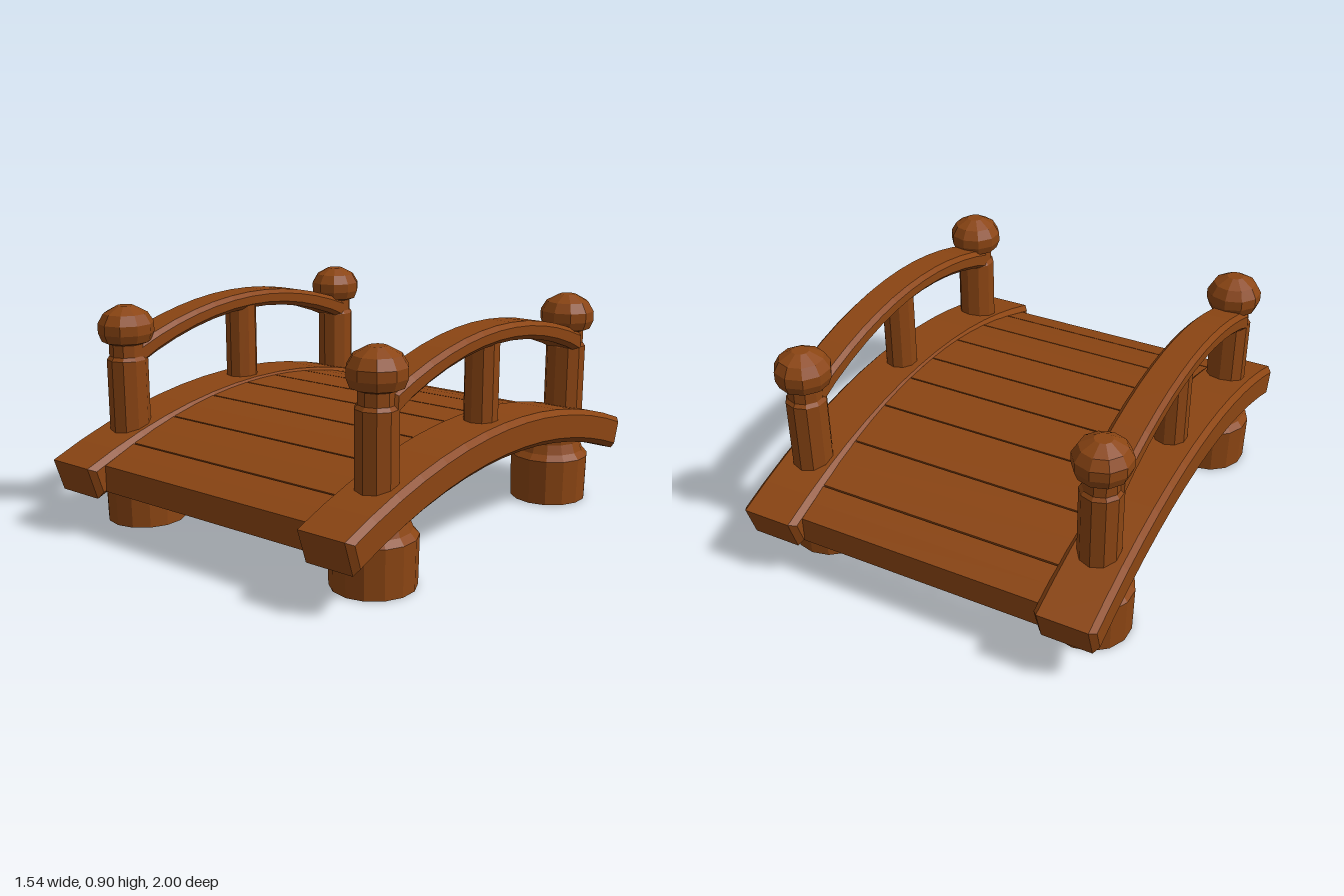
import * as THREE from 'three';

const wood = new THREE.MeshStandardMaterial({ color: 0x8b4513, flatShading: true });
wood.name = 'brown wood';

// Bar following an arch along z, between a top and a bottom curve, chamfered all round
function archBar(z0, z1, top, bottom, x0, x1, bevel, steps, undercut = 0) {
  const pts = [];
  for (let i = 0; i <= steps; i++) {
    const z = z0 + (z1 - z0) * i / steps;
    pts.push(new THREE.Vector2(z, top(z)));
  }
  for (let i = steps; i >= 0; i--) {
    const z = (z0 + undercut) + (z1 - z0 - 2 * undercut) * i / steps;
    pts.push(new THREE.Vector2(z, bottom(z)));
  }
  const g = new THREE.ExtrudeGeometry(new THREE.Shape(pts), {
    depth: x1 - x0 - 2 * bevel, bevelEnabled: true, bevelSegments: 1,
    bevelSize: bevel, bevelThickness: bevel, bevelOffset: -bevel, steps: 1,
  });
  g.rotateY(-Math.PI / 2);
  g.translate(x1 - bevel, 0, 0);
  return g;
}

const lathe = (profile, sides) =>
  new THREE.LatheGeometry(profile.map(([r, y]) => new THREE.Vector2(r, y)), sides);

export function createModel() {
  const model = new THREE.Group();
  model.name = 'archedBridge';
  const add = (name, geometry, x = 0, z = 0) => {
    const m = new THREE.Mesh(geometry, wood);
    m.name = name;
    m.position.set(x, 0, z);
    model.add(m);
    return m;
  };

  // Deck planks with narrow gaps
  const edges = [-0.94, -0.78, -0.54, -0.31, -0.1, 0.085, 0.3, 0.54, 0.77, 0.93];
  for (let i = 0; i < edges.length - 1; i++) {
    add('plank', archBar(edges[i] + 0.003, edges[i + 1] - 0.003,
      z => 0.483 - 0.21 * z * z, z => 0.375 - 0.21 * z * z, -0.54, 0.54, 0.008, 2));
  }

  // Hollow footing, tapering where it meets the beam
  const footing = lathe([[0, 0.12], [0.135, 0.12], [0.138, 0], [0.164, 0],
    [0.168, 0.195], [0.145, 0.22], [0.13, 0.26], [0.13, 0.32], [0, 0.32]], 14);
  // Corner post with neck and faceted knob
  const post = lathe([[0, 0.34], [0.084, 0.34], [0.084, 0.68], [0.073, 0.695], [0.073, 0.745],
    [0.1, 0.755], [0.114, 0.79], [0.114, 0.83], [0.09, 0.87], [0.035, 0.9], [0, 0.9]], 10);
  const middlePost = new THREE.CylinderGeometry(0.07, 0.07, 0.4, 10).translate(0, 0.63, 0);

  for (const s of [-1, 1]) {
    const span = (a, b) => s > 0 ? [a, b] : [-b, -a];
    // Side beam
    add('sideBeam', archBar(-1, 1, z => 0.492 - 0.19 * z * z, z => 0.35 - 0.2 * z * z,
      ...span(0.52, 0.77), 0.022, 14, 0.045));
    // Handrail
    add('handrail', archBar(-0.68, 0.68, z => 0.872 - 0.28 * z * z, z => 0.8 - 0.32 * z * z,
      ...span(0.57, 0.72), 0.018, 12));
    add('middlePost', middlePost, s * 0.64);
    for (const e of [-1, 1]) {
      add('cornerPost', post, s * 0.64, e * 0.68);
      add('footing', footing, s * 0.6, e * 0.645);
    }
  }
  return model;
}
